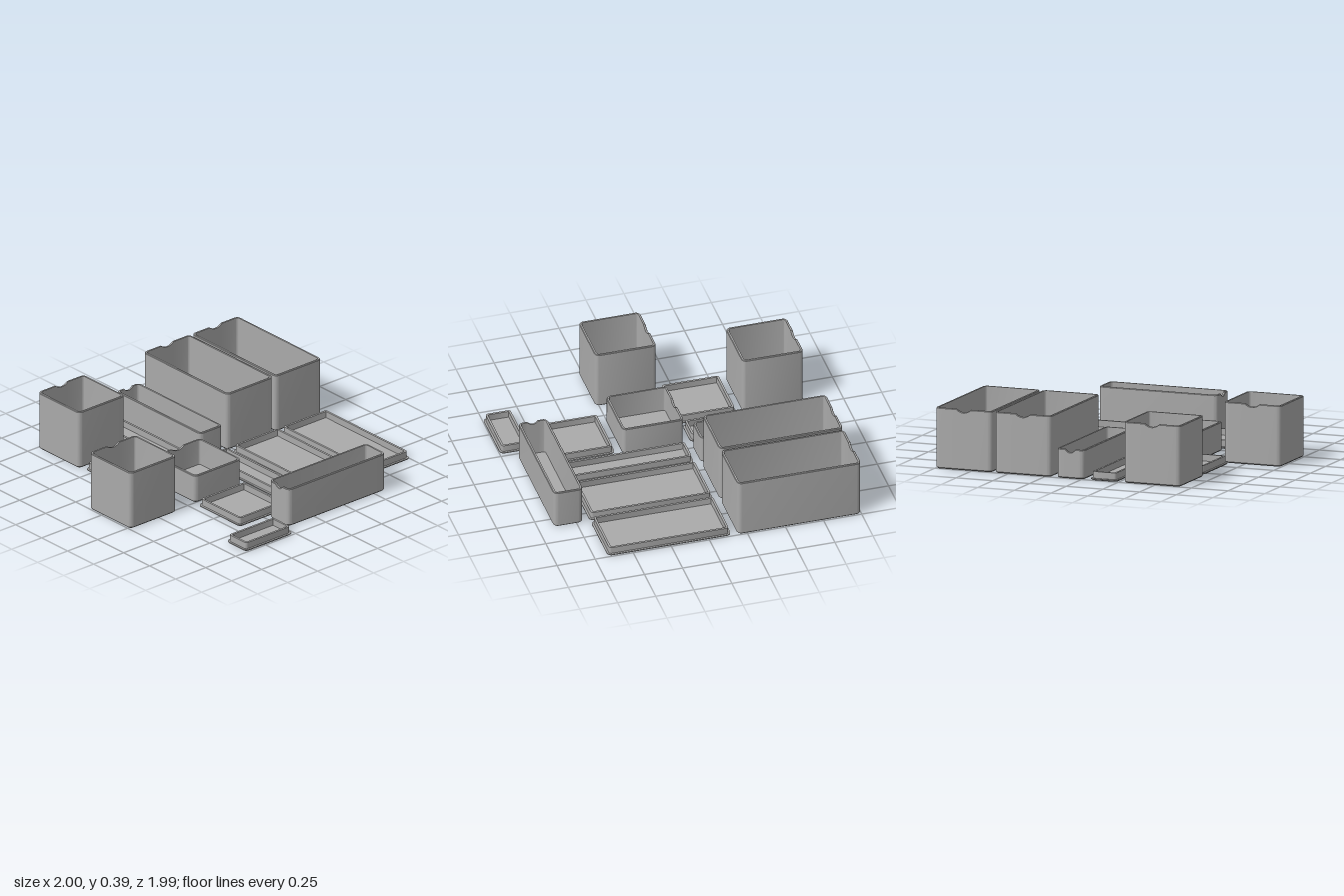
import * as THREE from 'three';
import { toCreasedNormals } from 'three/addons/utils/BufferGeometryUtils.js';

const RADIUS = 0.03;

// Rounded rectangle, counterclockwise from above; extra points on the -x side carry the thumb notch.
function outline(w, d, inset, notch) {
  const r = Math.max(RADIUS - inset, 0.003);
  const cx = w / 2 - inset - r, cz = d / 2 - inset - r;
  const signs = [[1, -1], [-1, -1], [-1, 1], [1, 1]];
  const pts = [];
  signs.forEach(([sx, sz], q) => {
    for (let k = 0; k <= 6; k++) {
      const a = (q + k / 6) * Math.PI / 2;
      pts.push([sx * cx + r * Math.cos(a), sz * cz - r * Math.sin(a), 0]);
    }
    if (q === 1 && notch) {
      for (let k = -5; k <= 5; k++) {
        const t = k / 5;
        pts.push([-w / 2 + inset, t * notch.half, notch.depth * (1 - t * t)]);
      }
    }
  });
  return pts;
}

// Loft a profile of [inset, y, isRim] around the outline and close it underneath and on the inner floor.
function tray(w, d, profile, notch) {
  const pos = [], index = [];
  const n = outline(w, d, 0, notch).length;
  profile.forEach(([inset, y, rim]) => {
    for (const [x, z, drop] of outline(w, d, inset, notch)) pos.push(x, rim ? y - drop : y, z);
  });
  const last = profile.length - 1;
  for (let j = 0; j < last; j++) {
    for (let i = 0; i < n; i++) {
      const k = (i + 1) % n;
      const a = j * n + i, b = j * n + k, c = b + n, e = a + n;
      index.push(a, b, c, a, c, e);
    }
  }
  const under = pos.length / 3;
  pos.push(0, profile[0][1], 0, 0, profile[last][1], 0);
  for (let i = 0; i < n; i++) {
    const k = (i + 1) % n;
    index.push(under, k, i, under + 1, last * n + i, last * n + k);
  }
  const g = new THREE.BufferGeometry();
  g.setAttribute('position', new THREE.Float32BufferAttribute(pos, 3));
  g.setIndex(index);
  return toCreasedNormals(g, 0.5);
}

const boxGeometry = (w, d, h) => tray(w, d, [
  [0.008, 0], [0, 0.008], [0, h - 0.004, true], [0.003, h, true],
  [0.014, h, true], [0.014, 0.014],
], { half: d > 0.3 ? 0.05 : 0.035, depth: 0.02 });

const lidGeometry = (w, d) => tray(w, d, [
  [0.008, 0], [0, 0.006], [0, 0.012], [0.013, 0.012],
  [0.013, 0.055], [0.027, 0.055], [0.027, 0.012],
]);

export function createModel() {
  const group = new THREE.Group();
  const grey = new THREE.MeshStandardMaterial({ color: 0xaaaaaa });
  grey.name = 'grey plastic';

  const add = (name, geometry, x, z, turn = 0) => {
    const mesh = new THREE.Mesh(geometry, grey);
    mesh.name = name;
    mesh.position.set(x, 0, z);
    mesh.rotation.y = turn;
    group.add(mesh);
  };

  // Open boxes: name, length, depth, height, x, z, turn
  [
    ['largeBoxBack', 0.81, 0.385, 0.39, -0.593, -0.805],
    ['largeBoxFront', 0.81, 0.385, 0.39, -0.593, -0.402],
    ['narrowBox', 0.81, 0.187, 0.187, -0.593, -0.078],
    ['tallNarrowBox', 0.81, 0.19, 0.257, 0.803, -0.186, Math.PI / 2],
    ['squareBoxLeft', 0.4, 0.385, 0.39, -0.798, 0.478],
    ['squareBoxFront', 0.4, 0.387, 0.39, 0.072, 0.802],
    ['shallowSquareBox', 0.4, 0.387, 0.187, 0.056, 0.25],
  ].forEach(([name, w, d, h, x, z, turn]) => add(name, boxGeometry(w, d, h), x, z, turn));

  // Lids lying flange down: name, length, depth, x, z
  [
    ['largeLidBack', 0.81, 0.385, 0.26, -0.805],
    ['largeLidFront', 0.81, 0.385, 0.26, -0.402],
    ['narrowLidBack', 0.81, 0.187, 0.26, -0.078],
    ['narrowLidFront', 0.81, 0.187, -0.593, 0.149],
    ['squareLidLeft', 0.4, 0.387, -0.356, 0.462],
    ['squareLidRight', 0.4, 0.387, 0.502, 0.265],
    ['smallLid', 0.19, 0.395, 0.903, 0.466],
  ].forEach(([name, w, d, x, z]) => add(name, lidGeometry(w, d), x, z));

  return group;
}
